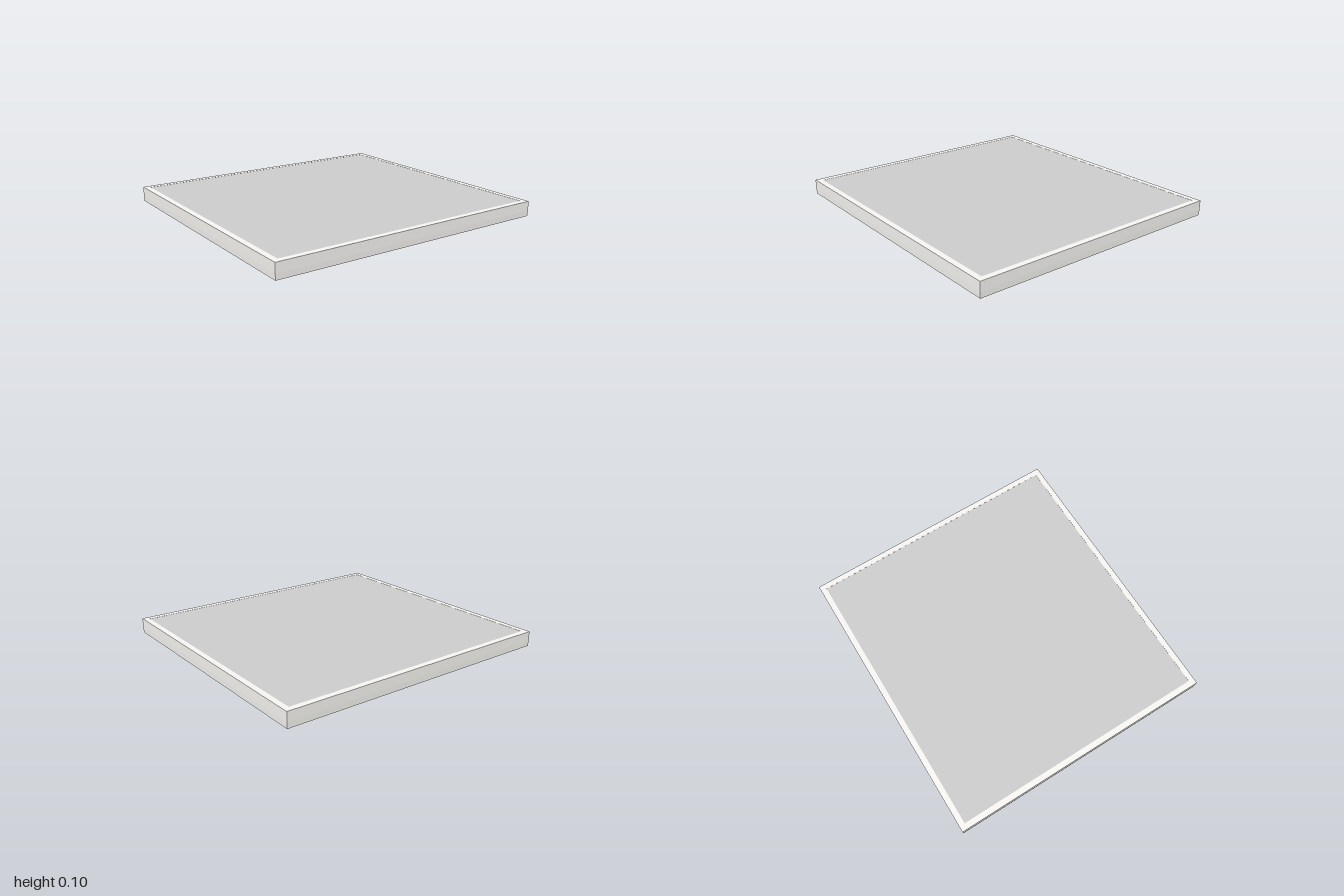
import * as THREE from 'three';

const W = 1.86, D = 2;

const material = (color) => new THREE.MeshStandardMaterial({ color });

// Sweeps a closed profile of [inset, y] points round the rectangular outline
function rectangularSweep(profile) {
  const corners = [[1, 1], [1, -1], [-1, -1], [-1, 1]];
  const at = ([inset, y], [sx, sz]) => [sx * (W / 2 - inset), y, sz * (D / 2 - inset)];
  const positions = [];
  profile.forEach((p, i) => {
    const q = profile[(i + 1) % profile.length];
    corners.forEach((c, k) => {
      const n = corners[(k + 1) % 4];
      const [a, b, e, f] = [at(p, c), at(p, n), at(q, n), at(q, c)];
      positions.push(...a, ...b, ...e, ...a, ...e, ...f);
    });
  });
  const geometry = new THREE.BufferGeometry();
  geometry.setAttribute('position', new THREE.Float32BufferAttribute(positions, 3));
  geometry.computeVertexNormals();
  return geometry;
}

export function createModel() {
  const group = new THREE.Group();
  const frameMaterial = material(0xf5f4f1);
  const panelMaterial = material(0xcccccc);

  const add = (name, geometry, mat, x = 0, y = 0, z = 0) => {
    const mesh = new THREE.Mesh(geometry, mat);
    mesh.name = name;
    mesh.position.set(x, y, z);
    group.add(mesh);
  };

  // Frame: plain outer wall, narrow top rim, three steps inside the skirt
  add('frame', rectangularSweep([
    [0.0015, 0], [0, 0.04], [0, 0.105], [0.04, 0.105], [0.04, 0.095], [0.057, 0.095],
    [0.057, 0.056], [0.035, 0.056], [0.035, 0.028], [0.013, 0.028], [0.013, 0],
  ]), frameMaterial);

  // Panel, set just below the rim
  const bottom = 0.083, top = 0.104;
  add('panel', new THREE.BoxGeometry(W - 0.08, top - bottom, D - 0.08), panelMaterial,
    0, (top + bottom) / 2, 0);

  // Low round discs under the panel, each on a thin collar
  const discs = [
    ['large', 0.142, 0.118, 0.14, -0.54],
    ['small', 0.058, 0.05, -0.42, 0.44],
  ];
  for (const [size, collar, face, x, z] of discs) {
    add(size + 'Collar', new THREE.CylinderGeometry(collar, collar, 0.003, 48), panelMaterial,
      x, bottom - 0.0015, z);
    add(size + 'Disc', new THREE.CylinderGeometry(face, face, 0.007, 48), frameMaterial,
      x, bottom - 0.0035, z);
  }

  // Thin plate under the panel
  add('plate', new THREE.BoxGeometry(0.13, 0.004, 0.18), panelMaterial, -0.6, bottom - 0.002, -0.76);

  return group;
}
